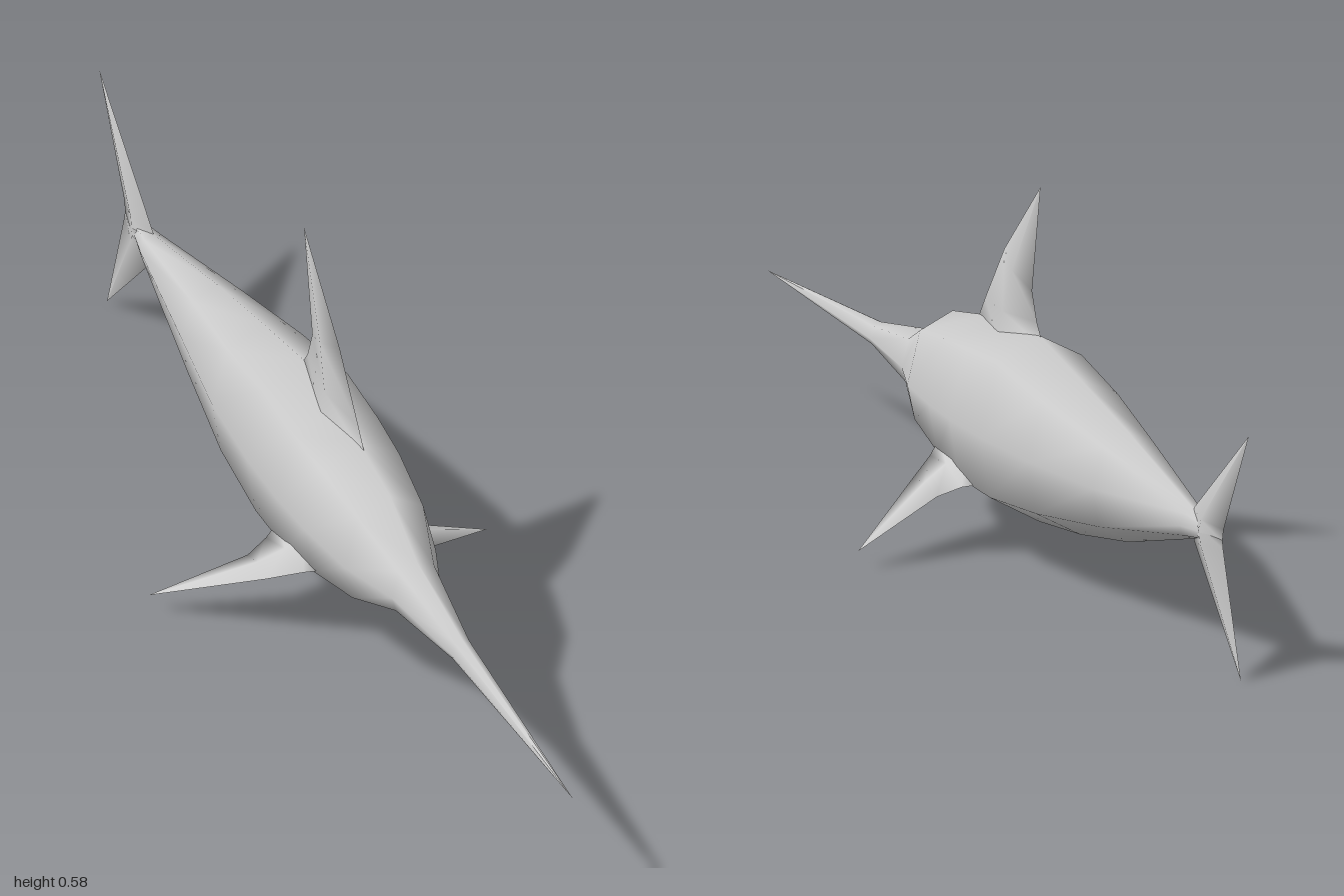
import * as THREE from 'three';

const V = (x, y, z) => new THREE.Vector3(x, y, z);
const material = new THREE.MeshStandardMaterial({ color: 0xcccccc });

// Skins a row of closed rings with a smooth surface; rings turn right-handed about the loft direction
function loft(name, rings) {
  const n = rings[0].length;
  const index = [];
  for (let j = 0; j < rings.length - 1; j++) {
    for (let i = 0; i < n; i++) {
      const a = j * n + i, b = j * n + (i + 1) % n;
      index.push(a, b, a + n, b, b + n, a + n);
    }
  }
  const geometry = new THREE.BufferGeometry().setFromPoints(rings.flat());
  geometry.setIndex(index);
  geometry.computeVertexNormals();
  const mesh = new THREE.Mesh(geometry, material);
  mesh.name = name;
  return mesh;
}

// Eight-sided body section: half width, top and bottom heights
function bodyRing([z, w, top, bottom]) {
  const mid = 0.2;
  const up = mid + (top - mid) * 0.76, down = mid - (mid - bottom) * 0.68;
  return [
    V(0, top, z), V(0.72 * w, up, z), V(w, mid, z), V(0.84 * w, down, z),
    V(0, bottom, z), V(-0.84 * w, down, z), V(-w, mid, z), V(-0.72 * w, up, z),
  ];
}

// Fin of diamond sections: [leading point, trailing point, half thickness]
function fin(name, side, sections) {
  return loft(name, sections.map(([lead, trail, t]) => {
    const mid = lead.clone().lerp(trail, 0.5);
    return [lead, mid.clone().addScaledVector(side, t), trail, mid.clone().addScaledVector(side, -t)];
  }));
}

export function createModel() {
  const model = new THREE.Group();
  model.name = 'swordfish';

  // Body with the long bill, from bill tip to tail notch
  model.add(loft('body', [
    [1.0, 0, 0.2, 0.2],
    [0.53, 0.017, 0.225, 0.188],
    [0.34, 0.04, 0.257, 0.166],
    [0.23, 0.074, 0.31, 0.12],
    [0.1, 0.09, 0.333, 0.088],
    [0, 0.096, 0.342, 0.065],
    [-0.13, 0.096, 0.352, 0.061],
    [-0.3, 0.086, 0.322, 0.079],
    [-0.5, 0.058, 0.284, 0.112],
    [-0.77, 0.022, 0.225, 0.178],
    [-0.89, 0, 0.205, 0.205],
  ].map(bodyRing)));

  // Dorsal fin
  model.add(fin('dorsalFin', V(1, 0, 0), [
    [V(0, 0.315, 0.13), V(0, 0.335, -0.15), 0.022],
    [V(0, 0.36, 0.095), V(0, 0.37, -0.12), 0.014],
    [V(0, 0.455, 0.015), V(0, 0.415, -0.1), 0.01],
    [V(0, 0.585, -0.135), V(0, 0.585, -0.135), 0],
  ]));

  // Tail lobes
  model.add(fin('upperTailLobe', V(1, 0, 0), [
    [V(0, 0.19, -0.76), V(0, 0.2, -0.89), 0.014],
    [V(0, 0.227, -0.772), V(0, 0.22, -0.895), 0.013],
    [V(0, 0.39, -1), V(0, 0.39, -1), 0],
  ]));
  model.add(fin('lowerTailLobe', V(-1, 0, 0), [
    [V(0, 0.215, -0.76), V(0, 0.205, -0.89), 0.014],
    [V(0, 0.176, -0.772), V(0, 0.19, -0.893), 0.013],
    [V(0, 0, -0.967), V(0, 0, -0.967), 0],
  ]));

  // Pectoral fins, mirrored across the body
  for (const s of [1, -1]) {
    model.add(fin(s > 0 ? 'leftPectoralFin' : 'rightPectoralFin', V(0, -s, 0), [
      [V(s * 0.06, 0.14, 0.13), V(s * 0.06, 0.115, -0.08), 0.018],
      [V(s * 0.09, 0.122, 0.095), V(s * 0.095, 0.105, -0.05), 0.012],
      [V(s * 0.135, 0.098, 0.055), V(s * 0.13, 0.09, -0.036), 0.009],
      [V(s * 0.275, 0.027, -0.077), V(s * 0.275, 0.027, -0.077), 0],
    ]));
  }

  return model;
}
